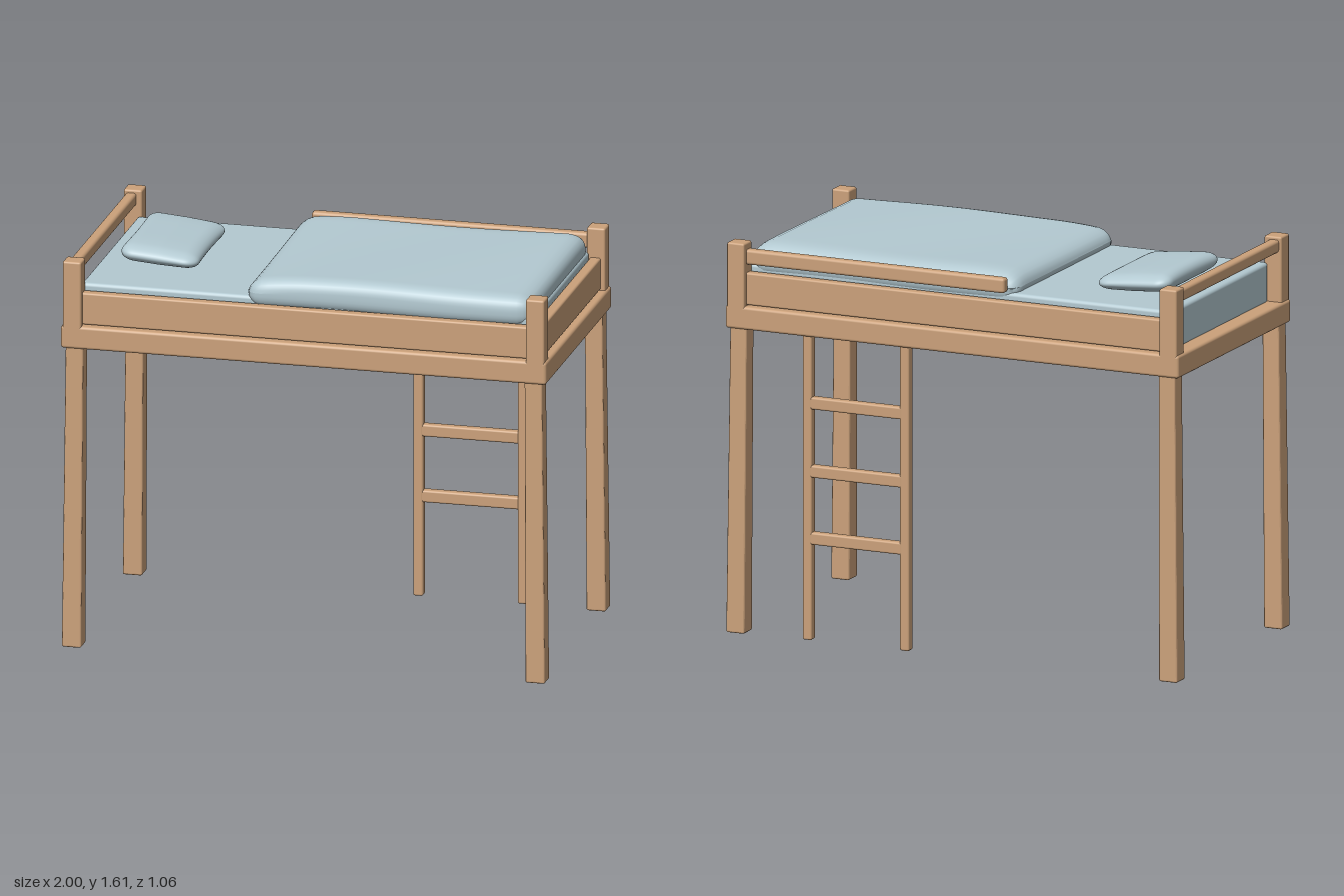
import * as THREE from 'three';
import { RoundedBoxGeometry } from 'three/addons/geometries/RoundedBoxGeometry.js';
import { mergeVertices } from 'three/addons/utils/BufferGeometryUtils.js';

export function createModel() {
  const group = new THREE.Group();
  const wood = new THREE.MeshStandardMaterial({ color: 0xcba17a });
  const fabric = new THREE.MeshStandardMaterial({ color: 0xb3c9d1 });
  wood.name = 'wood';
  fabric.name = 'paleBlueFabric';

  function add(name, geometry, material) {
    const mesh = new THREE.Mesh(geometry, material);
    mesh.name = name;
    group.add(mesh);
    return mesh;
  }

  // Softly rounded beam given by its extents on each axis
  function beam(name, [x0, x1], [y0, y1], [z0, z1], radius = 0.008, material = wood) {
    const geometry = new RoundedBoxGeometry(x1 - x0, y1 - y0, z1 - z0, 2, radius);
    geometry.translate((x0 + x1) / 2, (y0 + y1) / 2, (z0 + z1) / 2);
    return add(name, geometry, material);
  }

  // Soft block: rounds the edges by an elliptical radius, then bends by a rule
  function cushion(name, size, radii, rule) {
    const box = new THREE.BoxGeometry(...size, 40, 10, 36);
    box.deleteAttribute('normal');
    box.deleteAttribute('uv');
    const geometry = mergeVertices(box);
    const pos = geometry.attributes.position;
    const r = new THREE.Vector3(...radii);
    const limit = new THREE.Vector3(...size).multiplyScalar(0.5).sub(r);
    const p = new THREE.Vector3();
    const inner = new THREE.Vector3();
    for (let i = 0; i < pos.count; i++) {
      p.fromBufferAttribute(pos, i);
      inner.copy(p).clamp(limit.clone().negate(), limit);
      p.sub(inner).divide(r).normalize().multiply(r).add(inner);
      rule(p);
      pos.setXYZ(i, p.x, p.y, p.z);
    }
    geometry.computeVertexNormals();
    return add(name, geometry, fabric);
  }

  // Corner posts: slightly splayed legs below, straight post tops above
  for (const sx of [-1, 1]) {
    for (const sz of [-1, 1]) {
      const leg = new RoundedBoxGeometry(0.08, 1.28, 0.08, 2, 0.008);
      const pos = leg.attributes.position;
      for (let i = 0; i < pos.count; i++) {
        const t = pos.getY(i) / 1.28 + 0.5;
        const s = 1 - 0.1 * t;
        pos.setXYZ(i, pos.getX(i) * s + sx * (0.953 - 0.01 * t), pos.getY(i) + 0.64,
          pos.getZ(i) * s + sz * (0.49 - 0.006 * t));
      }
      leg.computeVertexNormals();
      add('leg', leg, wood);
      const top = sx < 0 ? 1.61 : 1.6;
      const post = beam('postTop', [-0.038, 0.038], [1.27, top], [-0.038, 0.038]);
      post.position.set(sx * 0.952, 0, sz * 0.49);
    }
  }

  // Bed frame: long rails, end rails and a flush platform underneath
  for (const s of [-1, 1]) {
    const side = beam('sideRail', [-0.998, 0.998], [1.248, 1.342], [-0.04, 0.04], 0.012);
    side.position.z = s * 0.488;
    const end = beam('endRail', [-0.04, 0.04], [1.248, 1.342], [-0.5, 0.5], 0.012);
    end.position.x = s * 0.958;
    const board = beam('sideBoard', [-0.93, 0.93], [1.345, 1.477], [-0.022, 0.022]);
    board.position.z = s * 0.482;
  }
  beam('platform', [-0.95, 0.95], [1.25, 1.34], [-0.48, 0.48]);

  // Foot board, head bar and rear guard rail
  beam('footBoard', [0.928, 0.972], [1.345, 1.477], [-0.46, 0.46]);
  beam('headBar', [-0.98, -0.936], [1.545, 1.598], [-0.46, 0.46], 0.012);
  beam('guardRail', [-0.22, 0.93], [1.51, 1.572], [-0.505, -0.462], 0.012);

  // Ladder at the rear
  for (const x of [0.217, 0.646]) {
    beam('ladderRail', [x - 0.02, x + 0.02], [0, 1.26], [-0.51, -0.468]);
  }
  for (const y of [0.417, 0.692, 0.972]) {
    beam('ladderRung', [0.225, 0.64], [y - 0.025, y + 0.025], [-0.508, -0.47]);
  }

  // Mattress
  beam('mattress', [-0.932, 0.925], [1.335, 1.503], [-0.455, 0.455], 0.015, fabric);

  // Duvet: gentle crown, a lower turned edge at the head side, soft ripples
  const duvet = cushion('duvet', [1.17, 0.13, 0.935], [0.07, 0.055, 0.05], (p) => {
    if (p.y > 0) {
      const headEdge = Math.max(0, 1 - (p.x + 0.585) / 0.25);
      const backEdge = Math.max(0, 1 - (p.z + 0.465) / 0.12);
      p.y -= 0.016 * headEdge * headEdge + 0.02 * backEdge * backEdge;
      p.y += 0.004 * Math.sin(p.x * 5 + p.z * 4);
    }
    p.z += 0.006 * Math.sin(p.x * 7) * (p.z > 0 ? 1 : 0.3);
  });
  duvet.position.set(0.335, 1.521, 0.005);

  // Pillow: plump toward the head, thinner toward the foot, pinched at its ends
  const pillow = cushion('pillow', [0.325, 0.084, 0.52], [0.06, 0.041, 0.06], (p) => {
    const u = p.x / 0.1625;
    const v = p.z / 0.26;
    p.y *= (1 - 0.2 * Math.max(0, u)) * (1 - 0.35 * v * v * v * v);
    p.y -= 0.013 * u;
    p.x *= 1 - 0.06 * (1 - v * v) * u * u;
  });
  pillow.position.set(-0.678, 1.548, -0.035);

  return group;
}
